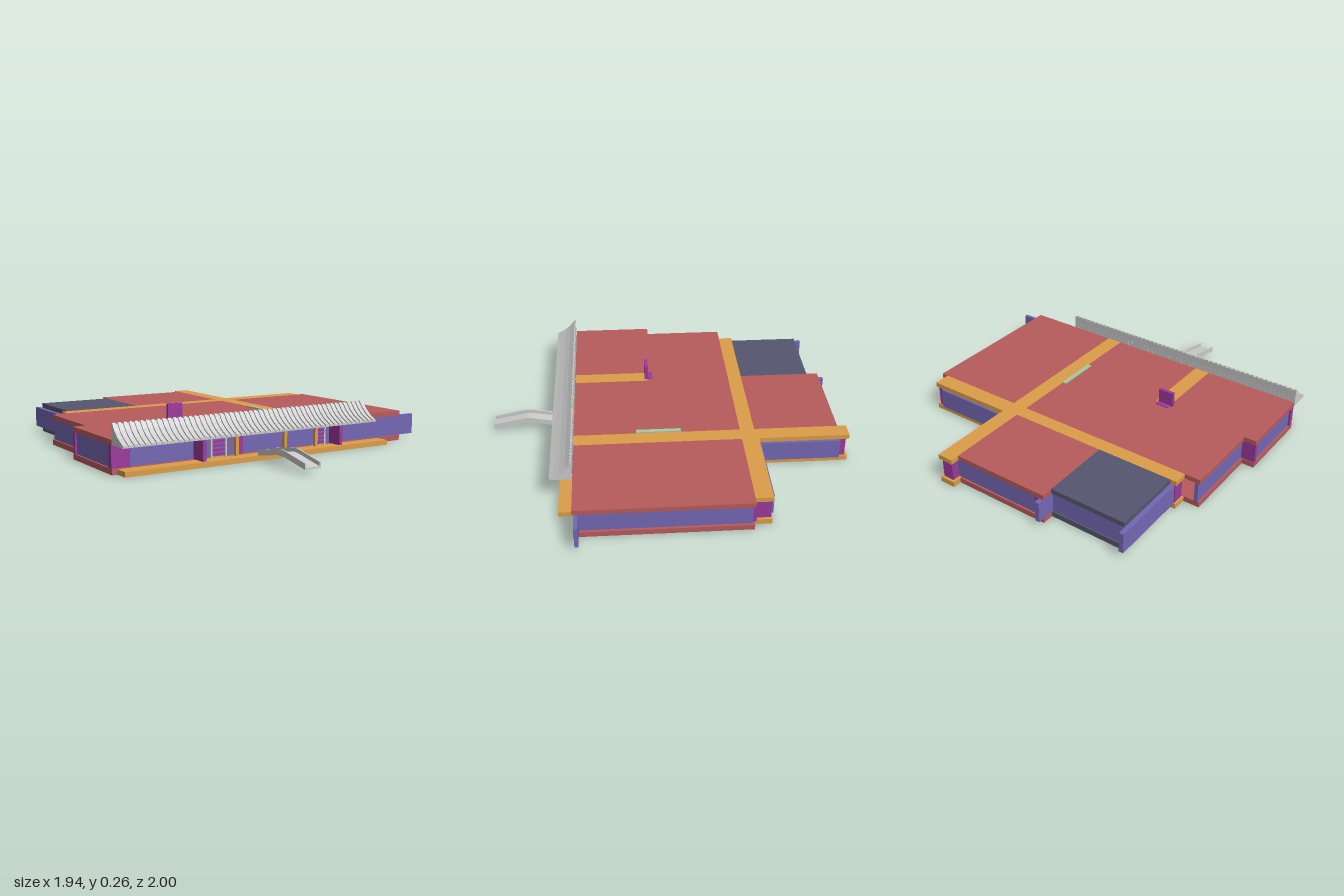
import * as THREE from 'three';

const mat = (color) => new THREE.MeshStandardMaterial({ color, side: THREE.DoubleSide });

export function createModel() {
  const model = new THREE.Group();
  const red = mat(0xb85c5c), orange = mat(0xdc9e48), blue = mat(0x7468b4);
  const magenta = mat(0x9c3a9c), slate = mat(0x565570), grey = mat(0xcccccc), green = mat(0xa8c8a0);

  // box given by its limits on each axis
  function block(name, m, x0, x1, y0, y1, z0, z1) {
    const mesh = new THREE.Mesh(new THREE.BoxGeometry(x1 - x0, y1 - y0, z1 - z0), m);
    mesh.position.set((x0 + x1) / 2, (y0 + y1) / 2, (z0 + z1) / 2);
    mesh.name = name;
    model.add(mesh);
  }
  // side profile of [z, y] points swept from x0 to x1
  function sweep(name, m, pts, x0, x1, parent = model) {
    const shape = new THREE.Shape(pts.map(([z, y]) => new THREE.Vector2(z, y)));
    const geo = new THREE.ExtrudeGeometry(shape, { depth: x1 - x0, bevelEnabled: false });
    geo.rotateY(-Math.PI / 2).translate(x1, 0, 0);
    const mesh = new THREE.Mesh(geo, m);
    mesh.name = name;
    parent.add(mesh);
  }

  // floor and roof share one plan: [material, x0, x1, z0, z1]
  const plan = [
    [red, -0.97, -0.415, 0.06, 0.525], [red, -0.415, -0.325, 0.06, 0.09],
    [red, -0.325, 0.22, 0.06, 0.525], [red, -0.9, 0.22, -0.4, 0.06],
    [red, 0.31, 0.86, -0.4, 0.525], [red, -0.34, 0.22, -0.95, -0.48],
    [slate, -0.775, -0.34, -0.885, -0.48],
    [orange, -0.81, 0.22, -0.48, -0.4], [orange, 0.31, 0.82, -0.495, -0.4],
    [orange, 0.22, 0.31, -1, 0.525], [orange, -0.415, -0.325, 0.09, 0.525],
  ];
  for (const [m, x0, x1, z0, z1] of plan) {
    block('floorSlab', m, x0, x1, 0.003, 0.033, z0, z1);
    block('roofSlab', m, x0, x1, 0.148, 0.175, z0, z1);
  }
  block('frontSill', orange, -0.94, 0.695, 0.003, 0.03, 0.525, 0.605);

  // walls between the slabs: [material, x0, x1, z0, z1]
  const walls = [
    [blue, -0.87, 0.97, 0.495, 0.515],
    [blue, 0.825, 0.845, -0.39, 0.495],
    [blue, 0.31, 0.77, -0.507, -0.487],
    [blue, 0.307, 0.325, -0.95, -0.5],
    [blue, -0.3, 0.24, -0.94, -0.92],
    [blue, -0.775, -0.34, -0.875, -0.855],
    [blue, -0.8, -0.775, -0.93, -0.48],
    [blue, -0.34, -0.315, -0.985, -0.86],
    [blue, -0.89, -0.87, -0.4, 0.07],
    [blue, -0.96, -0.94, 0.08, 0.5],
    [magenta, -0.97, -0.87, 0.49, 0.52],
    [magenta, -0.97, -0.87, 0.065, 0.085],
    [magenta, 0.765, 0.805, -0.49, -0.405],
    [magenta, 0.8, 0.835, -0.41, -0.385],
    [magenta, -0.8, -0.77, -0.47, -0.405],
    [magenta, 0.235, 0.3, -0.985, -0.945],
    [magenta, -0.335, -0.28, -0.945, -0.925],
    [magenta, -0.515, -0.495, 0.51, 0.605],
    [magenta, 0.35, 0.37, 0.51, 0.605],
    [magenta, -0.265, -0.225, 0.51, 0.525],
  ];
  for (const [m, x0, x1, z0, z1] of walls) block('wall', m, x0, x1, 0.033, 0.148, z0, z1);

  // front posts and lattice screens
  for (const x of [-0.275, 0.03, 0.235]) block('post', orange, x - 0.009, x + 0.009, 0.03, 0.15, 0.53, 0.55);
  for (const [x0, x1] of [[-0.42, -0.335], [0.25, 0.305]]) {
    for (const x of [x0, x1]) block('screenPost', grey, x - 0.005, x + 0.005, 0.03, 0.15, 0.52, 0.535);
    for (let i = 0; i < 5; i++) {
      const y = 0.04 + i * 0.022;
      block('screenSlat', magenta, x0, x1, y, y + 0.013, 0.518, 0.532);
    }
  }

  // curved canopy with tile ribs
  const canopy = new THREE.Group();
  canopy.name = 'canopy';
  model.add(canopy);
  const curve = [[0.645, 0.158], [0.62, 0.17], [0.59, 0.188], [0.56, 0.214], [0.532, 0.25]];
  sweep('canopyBody', grey, [[0.53, 0.15], [0.645, 0.15], ...curve, [0.527, 0.25]], -0.97, 0.575, canopy);
  const ribCount = 52, pitch = 1.545 / ribCount;
  const raised = curve.map(([z, y]) => [z + 0.004, y + 0.006]);
  for (let i = 0; i < ribCount; i++) {
    const x = -0.97 + i * pitch;
    sweep('canopyRib', grey, [[0.528, 0.152], [0.649, 0.152], ...raised, [0.528, 0.256]], x, x + pitch * 0.6, canopy);
  }

  // bent entrance ramp with side rails
  const bend = (t) => [[0.6, 0.03], [0.77, 0.06], [0.83, 0.06], [1, 0.025],
    [1, 0.025 + t], [0.83, 0.06 + t], [0.8, 0.064 + t], [0.77, 0.06 + t], [0.6, 0.03 + t]];
  sweep('rampDeck', grey, bend(0.01), -0.18, -0.09);
  for (const x of [-0.183, -0.097]) sweep('rampRail', grey, bend(0.031), x, x + 0.008);

  // rooftop parts
  block('chimney', magenta, -0.435, -0.345, 0.15, 0.26, 0.085, 0.105);
  block('chimneyBase', magenta, -0.42, -0.345, 0.15, 0.18, 0.058, 0.085);
  block('skylight', green, 0.195, 0.22, 0.17, 0.182, -0.07, 0.18);
  return model;
}
